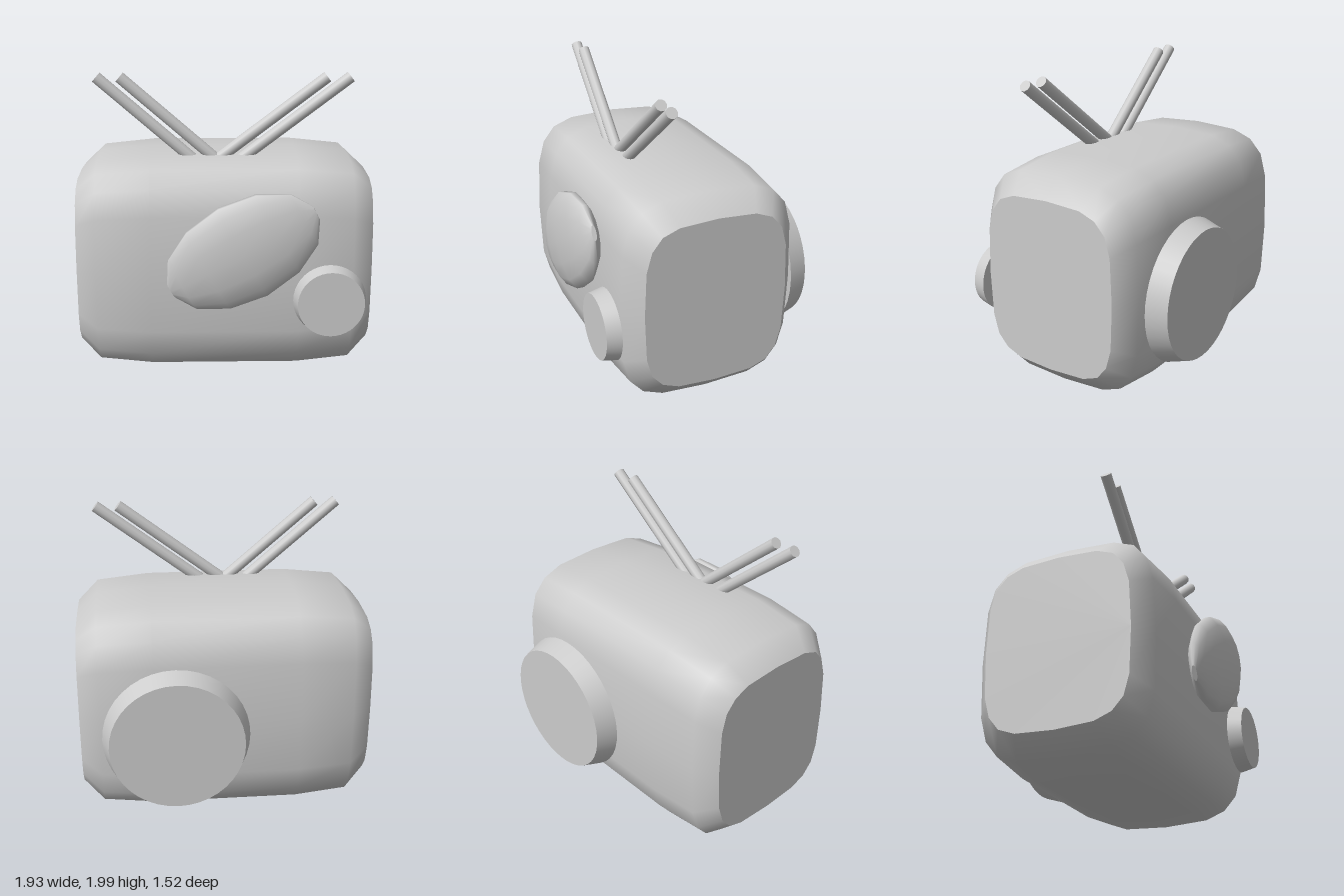
import * as THREE from 'three';

const shell = new THREE.MeshStandardMaterial({ color: 0xcccccc });
shell.name = 'light grey';

function add(group, name, geometry) {
  const mesh = new THREE.Mesh(geometry, shell);
  mesh.name = name;
  group.add(mesh);
  return mesh;
}

// Rounded-square outline as [z, y] pairs, built from one quarter
function outline() {
  const quarter = [[1, 0], [0.975, 0.52], [0.9, 0.75], [0.76, 0.9], [0.53, 0.975]];
  const points = [];
  for (let k = 0; k < 4; k++) {
    for (const [a, b] of quarter) {
      points.push([[a, b], [-b, a], [-a, -b], [b, -a]][k]);
    }
  }
  return points;
}

// Body: cross-sections along x, smooth sides and flat ends
function bodyGeometry() {
  const half = [[0.48, 0.613, 0.737], [0.83, 0.592, 0.702], [0.965, 0.487, 0.575]];
  const rings = [...half.map(([x, z, y]) => [-x, z, y]).reverse(), ...half];
  const loop = outline(), n = loop.length, cy = 0.743;
  const pos = [], index = [];
  const ring = ([x, hz, hy]) => loop.forEach(([z, y]) => pos.push(x, cy + y * hy, z * hz));
  rings.forEach(ring);
  for (let r = 0; r < rings.length - 1; r++) {
    for (let i = 0; i < n; i++) {
      const j = (i + 1) % n;
      const a = r * n + i, b = a + n, c = (r + 1) * n + j, d = r * n + j;
      index.push(a, b, c, a, c, d);
    }
  }
  // end caps with their own vertices
  for (const end of [rings[0], rings[rings.length - 1]]) {
    const s = pos.length / 3;
    ring(end);
    for (let i = 1; i < n - 1; i++) {
      if (end[0] < 0) index.push(s, s + i, s + i + 1);
      else index.push(s, s + i + 1, s + i);
    }
  }
  const g = new THREE.BufferGeometry();
  g.setAttribute('position', new THREE.Float32BufferAttribute(pos, 3));
  g.setIndex(index);
  g.computeVertexNormals();
  return g;
}

// Rod between two points in the plane z = 0.253
function rod(group, name, x0, y0, x1, y1) {
  const dx = x1 - x0, dy = y1 - y0;
  const mesh = add(group, name, new THREE.CylinderGeometry(0.038, 0.038, Math.hypot(dx, dy), 10));
  mesh.position.set((x0 + x1) / 2, (y0 + y1) / 2, 0.253);
  mesh.rotation.z = Math.atan2(-dx, dy);
}

export function createModel() {
  const group = new THREE.Group();
  group.name = 'radioBox';

  add(group, 'body', bodyGeometry());

  // Four antenna rods in a V
  rod(group, 'rightOuterAntenna', -0.14, 1.38, -0.822, 1.972);
  rod(group, 'rightInnerAntenna', 0.01, 1.38, -0.672, 1.972);
  rod(group, 'leftInnerAntenna', -0.11, 1.38, 0.67, 1.97);
  rod(group, 'leftOuterAntenna', 0.04, 1.38, 0.822, 1.97);

  // Tilted, flattened oval on the front
  const side = [[0.05, -0.525], [0.19, -0.44], [0.295, -0.25], [0.334, 0],
    [0.295, 0.25], [0.19, 0.44], [0.05, 0.525]];
  const oval = new THREE.Group();
  oval.name = 'frontOval';
  add(oval, 'ovalShell', new THREE.LatheGeometry(side.map(p => new THREE.Vector2(...p)), 14));
  for (const s of [-1, 1]) {
    const tip = add(oval, 'ovalTip', new THREE.CircleGeometry(0.05, 14));
    tip.position.y = s * 0.525;
    tip.rotation.x = -s * Math.PI / 2;
  }
  oval.scale.z = 0.31;
  oval.rotation.z = -61 * Math.PI / 180;
  oval.position.set(0.112, 0.917, 0.656);
  // squash is applied before the tilt, so depth stays along z
  group.add(oval);

  // Round knob on the front
  const knob = add(group, 'knob', new THREE.CylinderGeometry(0.215, 0.236, 0.096, 40));
  knob.rotation.x = Math.PI / 2;
  knob.position.set(0.677, 0.576, 0.66);

  // Large round plate on the back
  const plate = add(group, 'backPlate', new THREE.CylinderGeometry(0.436, 0.48, 0.135, 40));
  plate.rotation.x = -Math.PI / 2;
  plate.position.set(0.338, 0.66, -0.693);

  return group;
}
